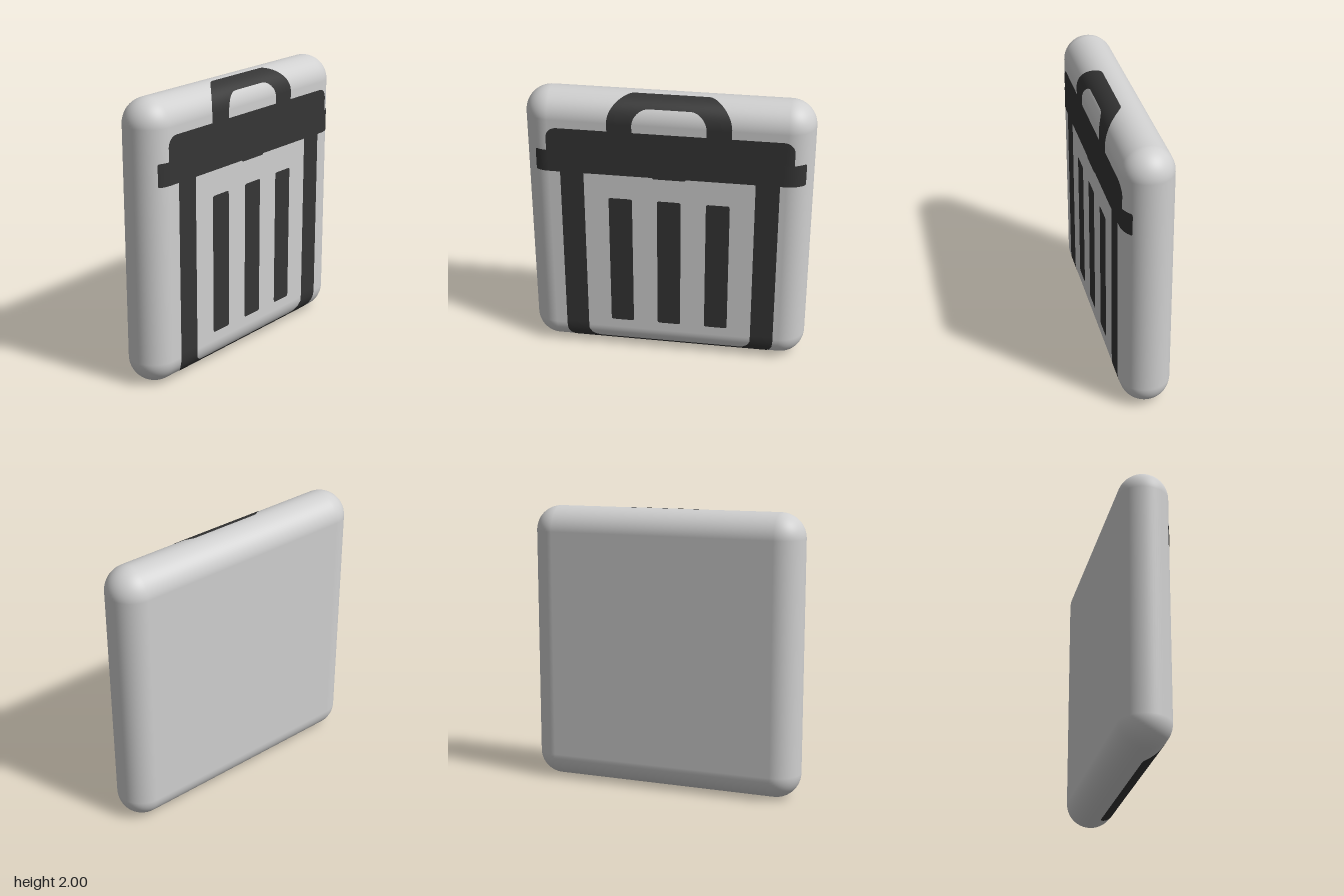
import * as THREE from 'three';
import { RoundedBoxGeometry } from 'three/addons/geometries/RoundedBoxGeometry.js';

const R = 0.1775;      // edge radius of the slab, half its depth
const LIFT = 0.002;    // height of the painted sign above the slab
const CX = 0.018;      // centre line of the sign

// Half width of a band whose corner of radius r begins at distance d from its end
const rounded = (w, r, d) => (d >= r ? w : w - r + Math.sqrt(Math.max(0, r * r - (r - d) ** 2)));

// Thin patch lying on the slab's front, between left(y) and right(y)
function patchGeometry(y0, y1, left, right, cols = 28, rows = 20) {
  const pos = [], nor = [], idx = [];
  const ease = (t) => (1 - Math.cos(Math.PI * t)) / 2;
  const over = (v) => Math.sign(v) * Math.max(Math.abs(v) - (1 - R), 0);
  for (let i = 0; i <= rows; i++) {
    const y = y0 + (y1 - y0) * ease(i / rows);
    const a = left(y), b = right(y);
    for (let j = 0; j <= cols; j++) {
      const x = a + (b - a) * ease(j / cols);
      const px = over(x), py = over(y - 1);
      const pz = Math.sqrt(Math.max(0, R * R - px * px - py * py));
      const n = new THREE.Vector3(px, py, pz).normalize();
      pos.push(x + n.x * LIFT, y + n.y * LIFT, pz + n.z * LIFT);
      nor.push(n.x, n.y, n.z);
      if (i < rows && j < cols) {
        const k = i * (cols + 1) + j, u = k + cols + 1;
        idx.push(k, k + 1, u + 1, k, u + 1, u);
      }
    }
  }
  const g = new THREE.BufferGeometry();
  g.setAttribute('position', new THREE.Float32BufferAttribute(pos, 3));
  g.setAttribute('normal', new THREE.Float32BufferAttribute(nor, 3));
  g.setIndex(idx);
  return g;
}

export function createModel() {
  const model = new THREE.Group();
  model.name = 'binSignTile';

  const grey = new THREE.MeshStandardMaterial({ color: 0xd0d0d0 });
  grey.name = 'light grey';
  const dark = new THREE.MeshStandardMaterial({ color: 0x353535, side: THREE.DoubleSide });
  dark.name = 'charcoal';

  // Rounded slab
  const slab = new THREE.Mesh(new RoundedBoxGeometry(2, 2, 2 * R, 10, R), grey);
  slab.name = 'slab';
  slab.position.y = 1;
  model.add(slab);

  const addPatch = (name, y0, y1, left, right) => {
    const mesh = new THREE.Mesh(patchGeometry(y0, y1, left, right), dark);
    mesh.name = name;
    model.add(mesh);
  };
  // Band symmetric about the sign's centre line
  const band = (name, y0, y1, half) => addPatch(name, y0, y1, (y) => CX - half(y), (y) => CX + half(y));
  // Mirrored pair of strips between two half widths
  const pair = (name, y0, y1, inner, outer) => {
    addPatch(name + 'Right', y0, y1, (y) => CX - outer(y), (y) => CX - inner(y));
    addPatch(name + 'Left', y0, y1, (y) => CX + inner(y), (y) => CX + outer(y));
  };

  // Handle on the lid
  const handleOuter = (y) => rounded(0.427, 0.17, 1.997 - y);
  const handleInner = (y) => rounded(0.255, 0.115, 1.93 - y);
  pair('handleSide', 1.765, 1.93, handleInner, handleOuter);
  band('handleTop', 1.93, 1.997, handleOuter);

  // Lid and its wider rim
  band('lid', 1.595, 1.765, (y) => rounded(0.853, 0.075, 1.765 - y));
  band('lidRim', 1.435, 1.595, (y) => rounded(0.932, 0.012, Math.min(y - 1.435, 1.595 - y)));
  band('lidNotch', 1.425, 1.435, (y) => rounded(0.115, 0.01, y - 1.425));

  // Outline of the bin body
  const bodyOuter = (y) => rounded(0.762, 0.14, y - 0.004);
  const bodyInner = (y) => rounded(0.597, 0.09, y - 0.068);
  pair('bodySide', 0.068, 1.435, bodyInner, bodyOuter);
  band('bodyBottom', 0.004, 0.068, bodyOuter);

  // Three upright bars
  for (const [i, dx] of [-0.342, 0, 0.342].entries()) {
    const half = (y) => rounded(0.083, 0.012, Math.min(y - 0.245, 1.255 - y));
    addPatch('bar' + (i + 1), 0.245, 1.255, (y) => CX + dx - half(y), (y) => CX + dx + half(y));
  }

  return model;
}
